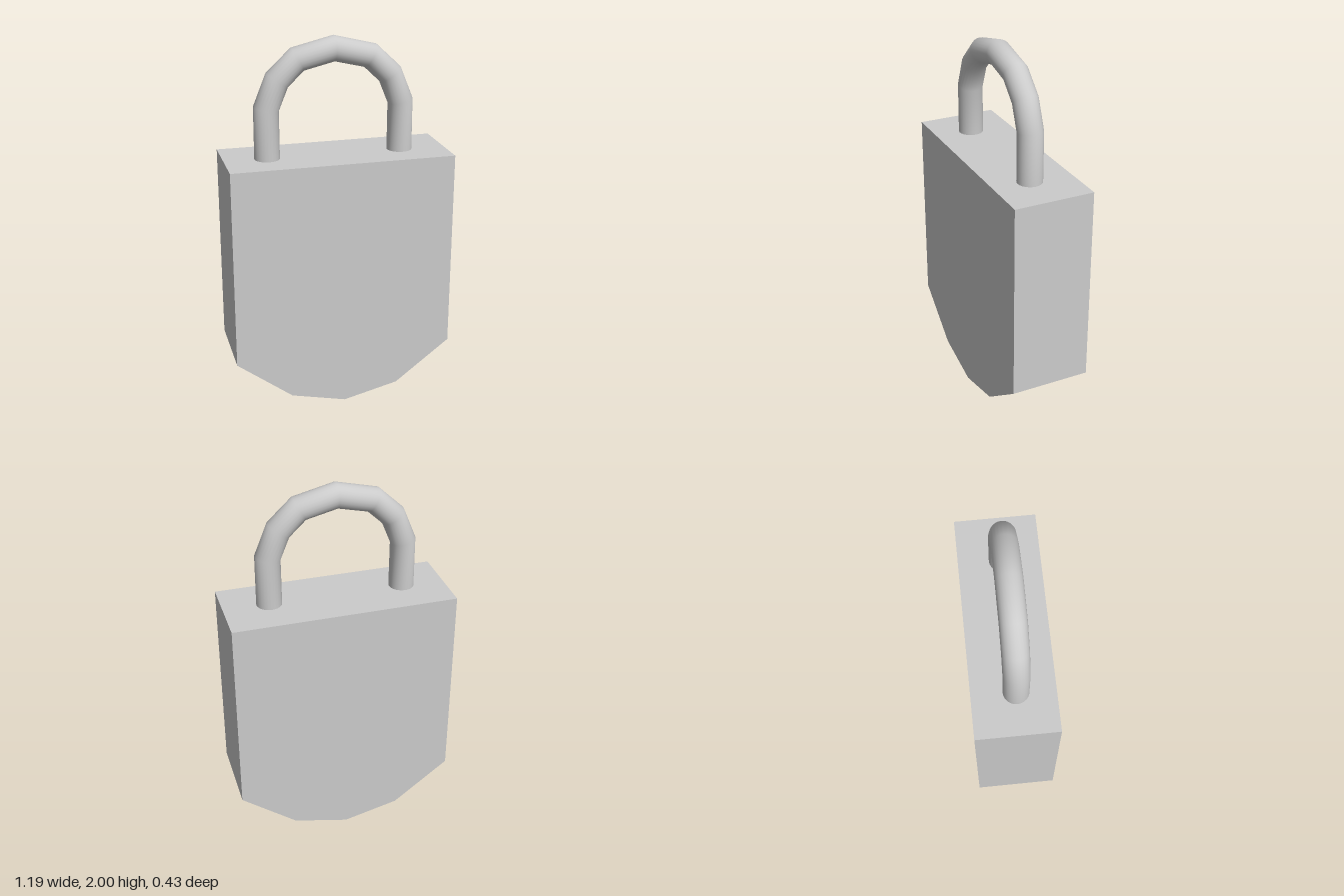
import * as THREE from 'three';
import { toCreasedNormals } from 'three/addons/utils/BufferGeometryUtils.js';

// Polyline path: one tube ring per point, mitred at each bend
class Polyline extends THREE.Curve {
  constructor(points) {
    super();
    this.points = points;
  }
  getPoint(t, target = new THREE.Vector3()) {
    const last = this.points.length - 1;
    const i = Math.min(Math.floor(t * last + 1e-6), last - 1);
    return target.lerpVectors(this.points[i], this.points[i + 1], t * last - i);
  }
  getPointAt(t, target) {
    return this.getPoint(t, target);
  }
  getTangentAt(t, target = new THREE.Vector3()) {
    const last = this.points.length - 1;
    const i = Math.round(t * last);
    const p = this.points;
    target.set(0, 0, 0);
    if (i > 0) target.add(p[i].clone().sub(p[i - 1]).normalize());
    if (i < last) target.add(p[i + 1].clone().sub(p[i]).normalize());
    return target.normalize();
  }
}

export function createModel() {
  const group = new THREE.Group();
  group.name = 'padlock';
  const material = new THREE.MeshStandardMaterial({ color: 0xcccccc });

  // Body: slab with a faceted, softly shaded bottom
  const depth = 0.43;
  const outline = [
    [-0.595, 1.375], [-0.595, 0.3], [-0.297, 0.073], [0, 0.003],
    [0.297, 0.073], [0.595, 0.3], [0.595, 1.375],
  ].map(([x, y]) => new THREE.Vector2(x, y));
  const bodyGeometry = new THREE.ExtrudeGeometry(new THREE.Shape(outline), {
    depth, bevelEnabled: false,
  });
  bodyGeometry.translate(0, 0, -depth / 2);
  const body = new THREE.Mesh(toCreasedNormals(bodyGeometry, 0.6), material);
  body.name = 'body';
  group.add(body);

  // Shackle: half of the arch, mirrored about its centre line
  const half = [[0.359, 1.32], [0.359, 1.64], [0.3, 1.785], [0.192, 1.887]];
  const arch = [
    ...half.map(([x, y]) => [-x, y]),
    [0, 1.933],
    ...half.slice().reverse(),
  ].map(([x, y]) => new THREE.Vector3(x, y, 0));
  const shackle = new THREE.Mesh(
    new THREE.TubeGeometry(new Polyline(arch), arch.length - 1, 0.067, 24, false),
    material
  );
  shackle.name = 'shackle';
  shackle.position.set(-0.008, 0, 0.013);
  group.add(shackle);

  return group;
}
